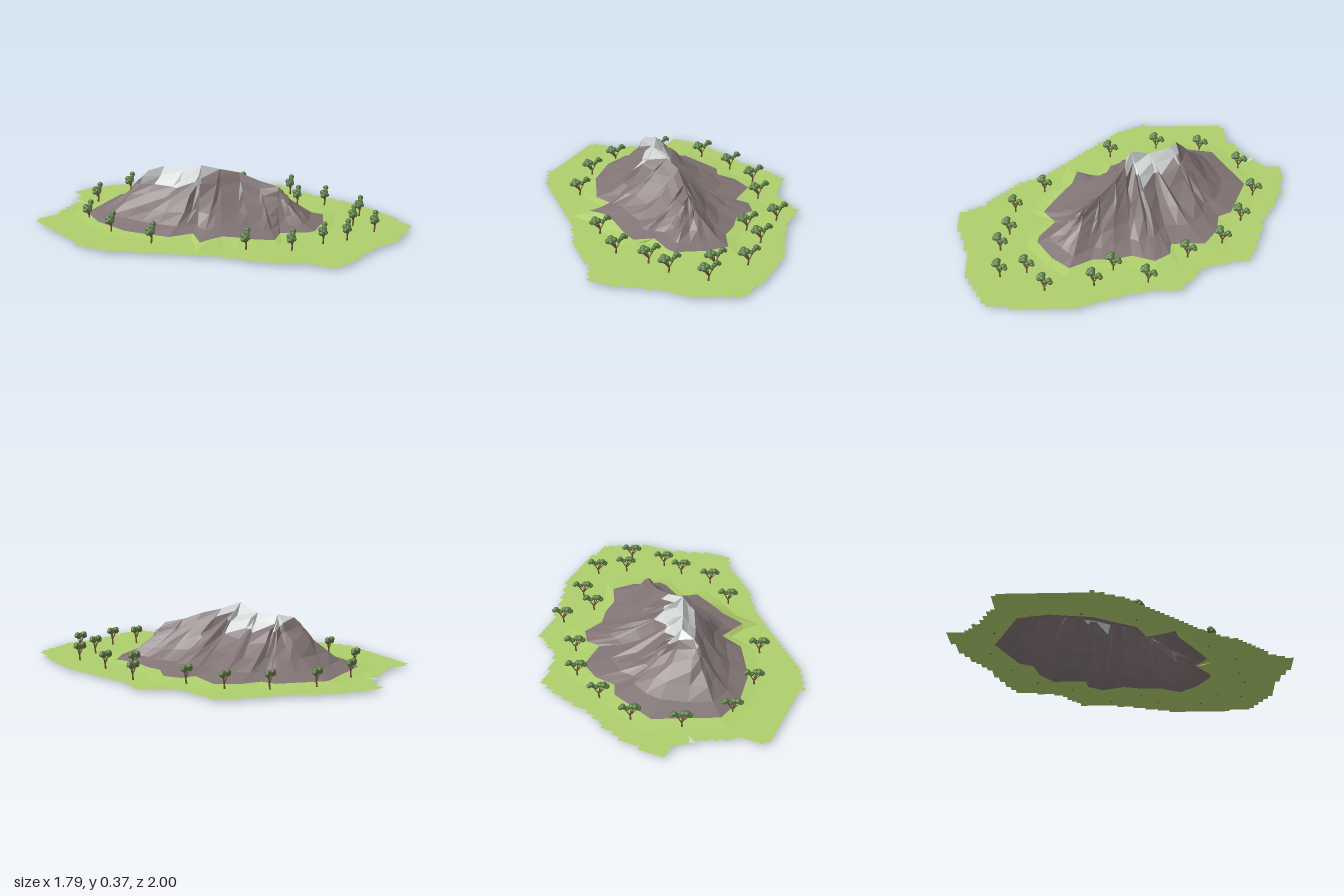
import * as THREE from 'three';
import { mergeGeometries } from 'three/addons/utils/BufferGeometryUtils.js';

const mat = (name, color, side = THREE.FrontSide, flatShading = true) => {
  const m = new THREE.MeshStandardMaterial({ color, side, flatShading });
  m.name = name;
  return m;
};
const GROUND = 0.015;

// Height of the mountain foot, with a grassy rise at the front left of the picture plane
const foot = (x, z) => 0.024 + 0.028 * Math.exp(-((x + 0.2) ** 2 + (z - 0.32) ** 2) / 0.03);

// Seeded noise in 0..1
const noise = (i, j) => {
  const s = Math.sin(i * 127.1 + j * 311.7 + 4.3) * 43758.5453;
  return s - Math.floor(s);
};

// Meadow edge (x, z), clockwise from the back
const EDGE = [
  [-0.39, -1], [-0.18, -0.98], [0.02, -0.9], [0.11, -0.84], [0.38, -0.76], [0.52, -0.7],
  [0.53, -0.6], [0.58, -0.41], [0.77, -0.3], [0.77, -0.08], [0.82, 0.1], [0.89, 0.28],
  [0.89, 0.64], [0.85, 0.81], [0.64, 0.91], [0.35, 0.94], [0.19, 1], [0.05, 1],
  [0, 0.9], [-0.05, 0.83], [-0.26, 0.64], [-0.31, 0.53], [-0.44, 0.38], [-0.6, 0.21],
  [-0.8, 0.02], [-0.89, -0.15], [-0.87, -0.17], [-0.87, -0.61], [-0.84, -0.69], [-0.72, -0.69],
  [-0.55, -0.78], [-0.47, -0.85], [-0.41, -0.9]];

// Mountain foot (x, z, index of the ridge point it climbs to)
const BASE = [
  [-0.2, -0.75, 0.5], [0.08, -0.64, 1], [0.12, -0.56, 1], [0.25, -0.54, 1.3], [0.37, -0.46, 1.7],
  [0.37, -0.26, 2.3], [0.46, -0.25, 2.8], [0.52, -0.16, 3.3], [0.47, -0.03, 4.2], [0.5, 0.08, 5],
  [0.5, 0.2, 6], [0.57, 0.33, 6.8], [0.48, 0.43, 7], [0.33, 0.52, 7], [0.28, 0.51, 7],
  [0.15, 0.42, 6.6], [0.05, 0.49, 6], [-0.05, 0.43, 5], [-0.2, 0.32, 4.2], [-0.34, 0.29, 3.5],
  [-0.27, 0.13, 3], [-0.41, 0.08, 2.7], [-0.55, -0.16, 1.5], [-0.59, -0.4, 0], [-0.55, -0.58, 0]];

// Crest of the mountain (x, y, z)
const RIDGE = [
  [-0.27, 0.305, -0.32], [-0.18, 0.325, -0.28], [-0.13, 0.32, -0.15], [-0.08, 0.37, -0.04],
  [0.03, 0.335, 0.0], [0.13, 0.31, 0.06], [0.21, 0.265, 0.15], [0.28, 0.238, 0.24]];

// Slope profile: share of the way out, share of the height
const SLOPE = [[0, 1], [0.09, 0.88], [0.19, 0.74], [0.33, 0.54], [0.51, 0.31], [0.73, 0.11], [1, 0]];

function mountainRings() {
  const columns = BASE.flatMap((a, i) => {
    const b = BASE[(i + 1) % BASE.length];
    return [a, a.map((v, k) => (v + b[k]) / 2)];
  });
  const rings = SLOPE.map(([t, h], j) => columns.map(([x, z, u], i) => {
    const [rx, ry, rz] = RIDGE[Math.round(u)];
    const inner = j > 0 && j < SLOPE.length - 1;
    const s = inner ? t + (noise(i, j) - 0.5) * 0.06 : t;
    // every other column is sunk to carve gullies
    const k = inner ? 1.04 - (i % 2) * 0.06 - noise(i, j + 20) * 0.11 : 1;
    const y0 = foot(x, z);
    return [rx + (x - rx) * s, y0 + (ry - y0) * h * k, rz + (z - rz) * s];
  }));
  // grassy apron outside the rock
  rings.push(columns.map(([x, z, u]) => {
    const [rx, , rz] = RIDGE[Math.round(u)];
    return [rx + (x - rx) * 1.22, GROUND, rz + (z - rz) * 1.22];
  }));
  return rings;
}

function facets(triangles) {
  const g = new THREE.BufferGeometry();
  g.setAttribute('position', new THREE.Float32BufferAttribute(triangles.flat(2), 3));
  g.computeVertexNormals();
  return g;
}

// Meadow with a stepped edge and an opening under the mountain
function meadowGeometry(opening) {
  const cell = 0.0263, snap = v => Math.round(v / cell) * cell;
  const pts = [];
  const add = (x, z) => {
    const p = pts[pts.length - 1];
    if (!p || Math.hypot(p.x - x, p.y + z) > 1e-4) pts.push(new THREE.Vector2(x, -z));
  };
  EDGE.forEach((a, i) => {
    const b = EDGE[(i + 1) % EDGE.length];
    const n = Math.ceil(Math.max(Math.abs(b[0] - a[0]), Math.abs(b[1] - a[1])) / cell);
    for (let k = 0; k < n; k++) {
      const x = snap(a[0] + (b[0] - a[0]) * k / n), z = snap(a[1] + (b[1] - a[1]) * k / n);
      if (pts.length) add(x, -pts[pts.length - 1].y);
      add(x, z);
    }
  });
  const shape = new THREE.Shape(pts);
  shape.holes.push(new THREE.Path(opening.map(([x, , z]) => new THREE.Vector2(x, -z))));
  return new THREE.ShapeGeometry(shape).rotateX(-Math.PI / 2).translate(0, GROUND, 0);
}

// Tapered stick from a to b
function limb(a, b, r0, r1) {
  const A = new THREE.Vector3(...a), B = new THREE.Vector3(...b), d = B.clone().sub(A);
  const g = new THREE.CylinderGeometry(r1, r0, d.length(), 5);
  g.applyQuaternion(new THREE.Quaternion().setFromUnitVectors(new THREE.Vector3(0, 1, 0), d.normalize()));
  return g.translate(...A.add(B).multiplyScalar(0.5).toArray());
}

// Leaf clumps of a tree (x, y, z, radius)
const CLUMPS = [
  [-0.036, 0.081, 0.024, 0.017], [-0.012, 0.084, 0.03, 0.016], [-0.025, 0.098, 0.01, 0.019],
  [-0.003, 0.093, 0.01, 0.018], [0.015, 0.083, -0.006, 0.014], [0.034, 0.108, -0.028, 0.017],
  [0.044, 0.1, -0.036, 0.014], [-0.02, 0.09, 0.022, 0.019], [0.026, 0.095, -0.02, 0.014]];

const TREES = [
  [-0.38, -0.73], [-0.095, -0.79], [0.15, -0.69], [0.36, -0.56], [0.48, -0.35], [0.69, -0.115],
  [0.58, 0.08], [0.71, 0.19], [0.745, 0.465], [0.59, 0.57], [0.62, 0.72], [0.39, 0.73],
  [0.245, 0.685], [0.03, 0.66], [-0.165, 0.49], [-0.53, 0.08], [-0.61, -0.22], [-0.59, -0.5]];

export function createModel() {
  const model = new THREE.Group();
  model.name = 'mountainLandscape';
  const grass = mat('grass', 0xaecf6c, THREE.DoubleSide);
  const rock = mat('rock', 0x827475, THREE.DoubleSide);
  const snow = mat('snow', 0xd2d5d5, THREE.DoubleSide);
  const bark = mat('bark', 0x76563c, THREE.FrontSide, false);
  const leaves = mat('leaves', 0x5b7c45);
  const add = (parent, name, geometry, material) => {
    const m = new THREE.Mesh(geometry, material);
    m.name = name;
    parent.add(m);
  };

  // Mountain, snow cap and apron
  const rings = mountainRings(), n = rings[0].length;
  const rockTris = [], snowTris = [], apronTris = [];
  for (let j = 0; j < rings.length - 1; j++) {
    for (let i = 0; i < n; i++) {
      const k = (i + 1) % n;
      const a = rings[j][i], b = rings[j + 1][i], c = rings[j + 1][k], d = rings[j][k];
      for (const tri of [[a, c, b], [a, d, c]]) {
        const [x, y, z] = [0, 1, 2].map(q => (tri[0][q] + tri[1][q] + tri[2][q]) / 3);
        const snowy = y > 0.222 + noise(i, j + 50) * 0.035 && z < 0 && z > -0.33 && x < 0.03;
        (j === rings.length - 2 ? apronTris : snowy ? snowTris : rockTris).push(tri);
      }
    }
  }
  add(model, 'mountain', facets(rockTris), rock);
  add(model, 'snowCap', facets(snowTris), snow);
  add(model, 'grassApron', facets(apronTris), grass);
  add(model, 'meadow', meadowGeometry(rings[rings.length - 1]), grass);
  add(model, 'snowPatch', facets([[[-0.51, 0.017, -0.83], [-0.44, 0.017, -0.78], [-0.47, 0.017, -0.84]]]), snow);

  // Trees: forked trunk and clumped crown, shared by all copies
  const fork = [0.004, 0.035, 0];
  const trunk = mergeGeometries([
    limb([0, 0, 0], fork, 0.006, 0.0045),
    ...[0, 1, 2, 3, 5].map(i => limb(fork, CLUMPS[i].slice(0, 3), 0.0038, 0.002))]);
  const crown = mergeGeometries(CLUMPS.map(([x, y, z, r]) =>
    new THREE.IcosahedronGeometry(r, 1).scale(1, 0.85, 1).translate(x, y, z)));
  TREES.forEach(([x, z], i) => {
    const tree = new THREE.Group();
    tree.name = 'tree';
    // the last tree is rooted deeper
    tree.position.set(x, i === TREES.length - 1 ? 0 : 0.011, z);
    add(tree, 'trunk', trunk, bark);
    add(tree, 'crown', crown, leaves);
    model.add(tree);
  });
  return model;
}
